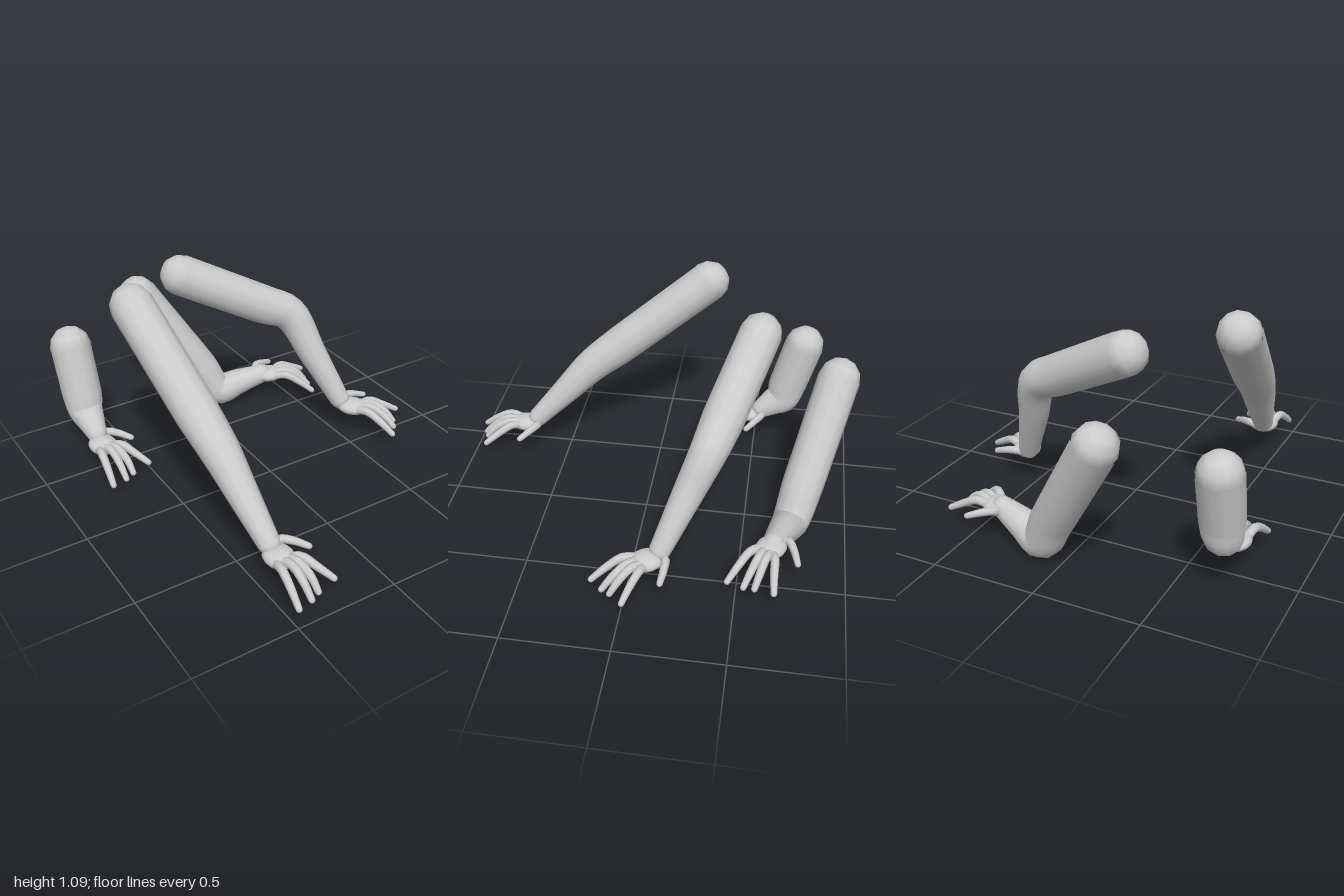
import * as THREE from 'three';

const material = new THREE.MeshStandardMaterial({ color: 0xcccccc });
const V = (p) => new THREE.Vector3(...p);

function addMesh(parent, geometry, name) {
  const mesh = new THREE.Mesh(geometry, material);
  mesh.name = name;
  parent.add(mesh);
  return mesh;
}

// Tube whose radius follows one value per path point, with a round cap at each end
function taperedLimb(name, points, radii, segments, sides) {
  const group = new THREE.Group();
  group.name = name;
  const curve = new THREE.CatmullRomCurve3(points, false, 'centripetal');
  const tube = new THREE.TubeGeometry(curve, segments, 1, sides);
  const pos = tube.attributes.position;
  const v = new THREE.Vector3();
  for (let i = 0; i <= segments; i++) {
    const u = i / segments;
    const centre = curve.getPointAt(u);
    const k = curve.getUtoTmapping(u) * (radii.length - 1);
    const a = Math.min(Math.floor(k), radii.length - 2);
    const r = THREE.MathUtils.lerp(radii[a], radii[a + 1], k - a);
    for (let j = 0; j <= sides; j++) {
      const n = i * (sides + 1) + j;
      v.fromBufferAttribute(pos, n).sub(centre).multiplyScalar(r).add(centre);
      pos.setXYZ(n, v.x, v.y, v.z);
    }
  }
  addMesh(group, tube, name + 'Tube');

  // Caps, with their poles along the limb
  const up = new THREE.Vector3(0, 1, 0);
  for (const end of [0, 1]) {
    const r = radii[end ? radii.length - 1 : 0];
    const cap = addMesh(group, new THREE.SphereGeometry(r, sides, 6), name + 'Cap');
    cap.position.copy(points[end ? points.length - 1 : 0]);
    cap.quaternion.setFromUnitVectors(up, curve.getTangentAt(end));
  }
  return group;
}

// Digits in hand space: fingers point to +z, thumb to +x
const digits = [
  { name: 'littleFinger', path: [[-0.035, 0, 0.03], [-0.047, 0.015, 0.1], [-0.055, -0.025, 0.18], [-0.062, -0.075, 0.25]] },
  { name: 'ringFinger', path: [[-0.01, 0.005, 0.03], [0.004, 0.018, 0.1], [0.012, -0.025, 0.175], [0.015, -0.078, 0.23]] },
  { name: 'middleFinger', path: [[0.02, 0.005, 0.03], [0.037, 0.018, 0.095], [0.055, -0.02, 0.165], [0.062, -0.072, 0.21]] },
  { name: 'indexFinger', path: [[0.035, 0, 0.03], [0.07, 0.015, 0.07], [0.11, -0.015, 0.13], [0.155, -0.055, 0.192]] },
  { name: 'thumb', path: [[0.01, 0, -0.06], [0.05, 0.02, -0.07], [0.1, 0.012, -0.04], [0.153, -0.01, 0.005]] },
];

function makeHand(position, turn) {
  const hand = new THREE.Group();
  hand.name = 'hand';
  const palm = addMesh(hand, new THREE.SphereGeometry(1, 14, 10), 'palm');
  palm.scale.set(0.07, 0.038, 0.085);
  for (const { name, path } of digits) {
    hand.add(taperedLimb(name, path.map(V), [0.022, 0.021, 0.019, 0.015], 10, 8));
  }
  hand.position.set(...position);
  hand.rotation.y = THREE.MathUtils.degToRad(turn);
  return hand;
}

// Joint positions of each arm and the heading of its hand
const arms = [
  {
    name: 'frontRightArm', shoulder: [-0.59, 1.0, -0.225], elbow: [-0.49, 0.52, 0.36],
    wrist: [-0.43, 0.19, 0.665], palm: [-0.42, 0.16, 0.725], turn: 0,
  },
  {
    name: 'frontLeftArm', shoulder: [-0.195, 0.945, -0.51], elbow: [0.335, 0.665, -0.345],
    wrist: [0.53, 0.19, -0.145], palm: [0.575, 0.16, -0.09], turn: 33,
  },
  {
    name: 'backLeftArm', shoulder: [-0.255, 0.7, -0.9], elbow: [0.115, 0.095, -0.73],
    wrist: [0.36, 0.155, -0.655], palm: [0.39, 0.15, -0.645], turn: 58,
  },
  {
    name: 'backRightArm', shoulder: [-0.715, 0.605, -0.73], elbow: [-0.705, 0.28, -0.64],
    wrist: [-0.7, 0.19, -0.53], palm: [-0.7, 0.16, -0.465], turn: 0,
  },
];

export function createModel() {
  const model = new THREE.Group();
  model.name = 'fourArms';
  for (const arm of arms) {
    const group = new THREE.Group();
    group.name = arm.name;
    const [s, e, w] = [arm.shoulder, arm.elbow, arm.wrist].map(V);
    // Extra points either side of the elbow keep the bend tight
    const path = [s, s.clone().lerp(e, 0.75), e, e.clone().lerp(w, 0.45), w];
    group.add(taperedLimb('armLimb', path, [0.102, 0.1, 0.09, 0.073, 0.052], 32, 12));
    group.add(makeHand(arm.palm, arm.turn));
    model.add(group);
  }
  return model;
}
